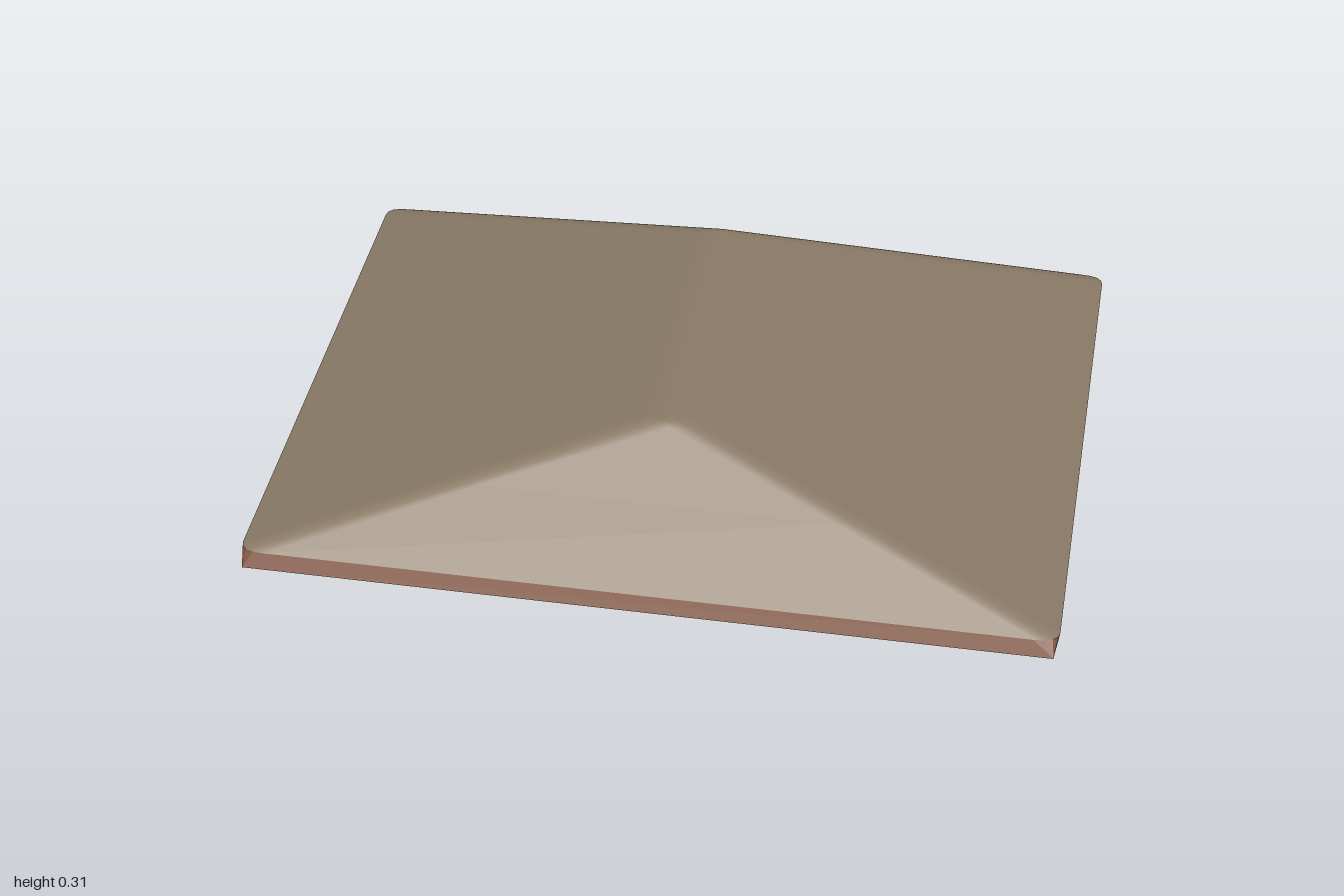
import * as THREE from 'three';
import { mergeVertices } from 'three/addons/utils/BufferGeometryUtils.js';

const CORNER_STEPS = 4;

// Rectangular outline at height y, counter-clockwise from above, with eased corners
function ring(hx, hz, y, cx = 0, cz = 0) {
  const points = [];
  for (const [sx, sz] of [[1, 1], [1, -1], [-1, -1], [-1, 1]]) {
    for (let i = 0; i <= CORNER_STEPS; i++) {
      const t = sx * sz > 0 ? i / CORNER_STEPS : 1 - i / CORNER_STEPS;
      points.push(new THREE.Vector3(
        sx * (hx - cx * (1 - t) ** 2), y, sz * (hz - cz * t * t)));
    }
  }
  return points;
}

// Skin between successive rings, leaving out collapsed triangles
function loft(rings, smooth) {
  const positions = [];
  const addTriangle = (a, b, c) => {
    if (new THREE.Triangle(a, b, c).getArea() < 1e-7) return;
    for (const p of [a, b, c]) positions.push(p.x, p.y, p.z);
  };
  for (let r = 0; r < rings.length - 1; r++) {
    const low = rings[r], high = rings[r + 1];
    for (let i = 0; i < low.length; i++) {
      const j = (i + 1) % low.length;
      addTriangle(low[i], low[j], high[j]);
      addTriangle(low[i], high[j], high[i]);
    }
  }
  let geometry = new THREE.BufferGeometry();
  geometry.setAttribute('position', new THREE.Float32BufferAttribute(positions, 3));
  if (smooth) geometry = mergeVertices(geometry, 1e-5);
  geometry.computeVertexNormals();
  return geometry;
}

export function createModel() {
  const covering = new THREE.MeshStandardMaterial({ color: 0x8a7a66 });
  covering.name = 'roofCovering';
  const timber = new THREE.MeshStandardMaterial({ color: 0x7c4f37 });
  timber.name = 'brownTimber';

  const group = new THREE.Group();
  group.name = 'hipRoof';
  const add = (name, geometry, material) => {
    const mesh = new THREE.Mesh(geometry, material);
    mesh.name = name;
    group.add(mesh);
  };

  // Straight slopes up to a softly rounded ridge
  const eaveY = 0.035, pitch = 0.283, bend = 0.07;
  const roofRing = (s) => {
    const y = s > bend
      ? eaveY + pitch * (1 - s)
      : eaveY + pitch * (1 - bend) + pitch * (bend * bend - s * s) / (2 * bend);
    return ring(s, 0.405 + 0.35 * s, y, Math.min(0.06, s), 0.035);
  };
  add('roofSlopes', loft([1, 0.5, bend, 0.052, 0.035, 0.017, 0].map(roofRing), true), covering);

  // Thin sloping edge around the eaves
  const rim = ring(0.99, 0.775, 0);
  add('eavesEdge', loft([rim, roofRing(1)], false), timber);

  // Hollow underside, following the roof with sharp folds
  add('underside', loft([ring(0, 0.385, 0.27), rim], false), timber);

  return group;
}
